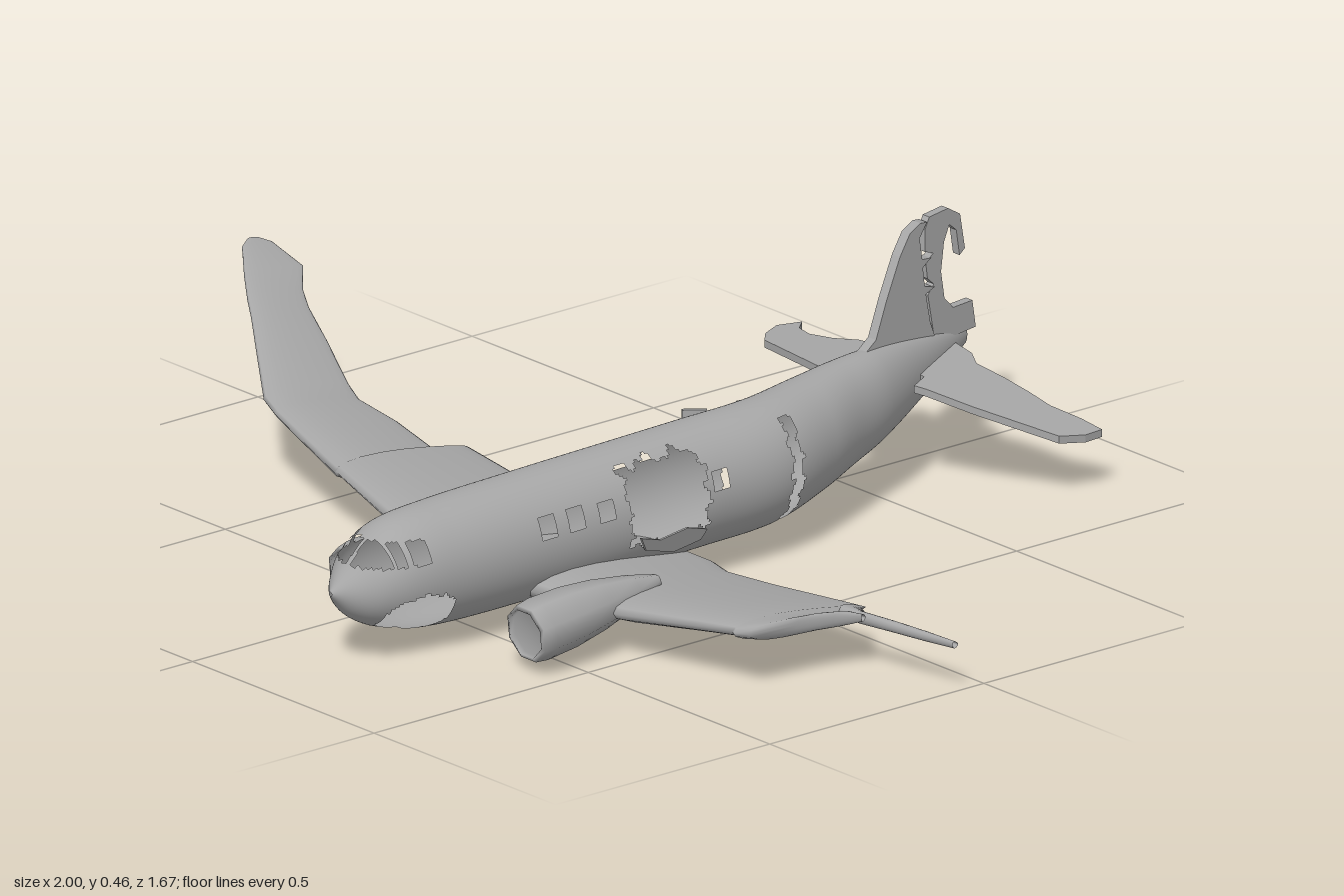
import * as THREE from 'three';

const metal = new THREE.MeshStandardMaterial({ color: 0xa6a6a6, side: THREE.DoubleSide });
metal.name = 'bare metal grey';

// Ragged offset for torn edges
const rag = (t) => 0.006 * Math.sin(t * 130) + 0.004 * Math.sin(t * 310 + 1);

// Skin a list of closed rings; skip(x, y, z) drops cells to leave openings
function loft(rings, skip) {
  const n = rings[0].length, all = [], kept = [];
  const p = rings.flat();
  for (let i = 0; i < rings.length - 1; i++) {
    for (let j = 0; j < n; j++) {
      const a = i * n + j, b = i * n + (j + 1) % n, c = a + n, d = b + n;
      const mid = [0, 1, 2].map((k) => (p[a][k] + p[b][k] + p[c][k] + p[d][k]) / 4);
      all.push(a, b, d, a, d, c);
      if (!skip || !skip(...mid)) kept.push(a, b, d, a, d, c);
    }
  }
  const g = new THREE.BufferGeometry();
  g.setAttribute('position', new THREE.Float32BufferAttribute(p.flat(), 3));
  g.setIndex(all);
  g.computeVertexNormals();
  g.setIndex(kept);
  return g;
}

// Smooth lookup in a table whose first column falls steadily
function sample(table, z) {
  let i = 0;
  while (i < table.length - 2 && z < table[i + 1][0]) i++;
  const a = table[i], b = table[i + 1], h = b[0] - a[0], t = (z - a[0]) / h;
  const p = table[i - 1] || a, q = table[i + 2] || b;
  return a.map((v, k) => {
    const m0 = (b[k] - p[k]) / (b[0] - p[0]) * h, m1 = (q[k] - a[k]) / (q[0] - a[0]) * h;
    return (2 * t ** 3 - 3 * t * t + 1) * v + (t ** 3 - 2 * t * t + t) * m0
      + (3 * t * t - 2 * t ** 3) * b[k] + (t ** 3 - t * t) * m1;
  });
}

// Fuselage sections: z, centre x, half width, bottom y, top y
const hull = [
  [0.835, 0.185, 0.004, 0.147, 0.155], [0.8, 0.185, 0.045, 0.105, 0.192],
  [0.76, 0.185, 0.077, 0.079, 0.232], [0.7, 0.187, 0.094, 0.058, 0.262],
  [0.6, 0.188, 0.101, 0.047, 0.273], [0.4, 0.19, 0.104, 0.047, 0.28],
  [0, 0.19, 0.105, 0.055, 0.288], [-0.16, 0.187, 0.103, 0.06, 0.29],
  [-0.3, 0.153, 0.092, 0.075, 0.29], [-0.4, 0.125, 0.076, 0.09, 0.29],
  [-0.5, 0.1, 0.062, 0.11, 0.286], [-0.65, 0.05, 0.036, 0.148, 0.265],
  [-0.8, 0, 0.01, 0.2, 0.24],
];
const cabinWindows = [0.41, 0.345, 0.275, 0.205, 0.14, 0.075, 0.01];

// Openings in the hull: panes, windows, torn holes, the break and the door
function opening(x, y, z) {
  const left = x > sample(hull, z)[1];
  if (z > 0.675 && y > 0.198 && y < 0.237) {
    const post = Math.abs(x - 0.185) < 0.005 || Math.abs(z - 0.719) < 0.005 || Math.abs(z - 0.743) < 0.004;
    return !post;
  }
  if (y > 0.19 && y < 0.226 && cabinWindows.some((w) => Math.abs(z - w) < 0.018)) return true;
  if (left && ((z - 0.69) / 0.072) ** 2 + ((y - 0.098) / 0.042) ** 2 < 1 + rag(z) * 15) return true;
  if (left && z > 0.045 + rag(y) && z < 0.222 + rag(y + 1) && y > 0.125 + rag(z) && y < 0.266 + rag(z * 0.7)) return true;
  if (left && y > 0.07 && y < 0.27 && Math.abs(z + 0.172 + rag(y) * 0.8) < 0.013) return true;
  return !left && z > -0.235 && z < -0.155 + rag(y) * 0.6 && y > 0.1 && y < 0.25;
}

function fuselage() {
  const rings = [], steps = 278, sides = 120;
  for (let i = 0; i <= steps; i++) {
    const [z, cx, rx, yb, yt] = sample(hull, 0.835 - 1.635 * i / steps);
    rings.push(Array.from({ length: sides }, (_, j) => {
      const a = j / sides * Math.PI * 2;
      return [cx + rx * Math.cos(a), (yb + yt) / 2 + (yt - yb) / 2 * Math.sin(a), z];
    }));
  }
  return loft(rings, opening);
}

// Wing stations: x, leading z, trailing z, y, thickness
function wing(stations) {
  const n = 20;
  return loft(stations.map(([x, lead, trail, y, thick]) => Array.from({ length: n }, (_, j) => {
    const a = j / n * Math.PI * 2, u = (1 - Math.cos(a)) / 2, c = lead - trail;
    const h = thick * 0.5 * Math.sin(a) * (1.25 - 0.75 * u);
    return [x, y + h + c * 0.08 * (0.5 - u), lead - c * u];
  })));
}

// Thin tail plate: outline in two axes, then place() sets each vertex
function plate(points, thick, place) {
  const g = new THREE.ExtrudeGeometry(new THREE.Shape(points.map((p) => new THREE.Vector2(...p))),
    { depth: thick, bevelEnabled: false }).translate(0, 0, -thick / 2);
  const pos = g.attributes.position;
  for (let i = 0; i < pos.count; i++) pos.setXYZ(i, ...place(pos.getX(i), pos.getY(i), pos.getZ(i)));
  g.computeVertexNormals();
  return g;
}

export function createModel() {
  const model = new THREE.Group();
  model.name = 'wreckedAirliner';
  const add = (name, geometry) => {
    const m = new THREE.Mesh(geometry, metal);
    m.name = name;
    model.add(m);
    return m;
  };

  add('fuselage', fuselage());

  // One wing runs through the belly: bent up at the right, torn off at the left
  add('wings', wing([
    [-1, 0.025, 0, 0.315, 0.004], [-0.985, 0.05, -0.02, 0.308, 0.01], [-0.92, 0.1, -0.038, 0.278, 0.015],
    [-0.87, 0.135, 0.005, 0.256, 0.02], [-0.83, 0.16, 0.025, 0.238, 0.024], [-0.75, 0.215, 0.05, 0.203, 0.028],
    [-0.65, 0.283, 0.085, 0.158, 0.033], [-0.6, 0.298, 0.103, 0.147, 0.035], [-0.5, 0.325, 0.1, 0.133, 0.04],
    [-0.365, 0.36, 0.115, 0.114, 0.045], [-0.36, 0.36, 0.05, 0.114, 0.045], [-0.13, 0.418, 0.05, 0.087, 0.058],
    [0.02, 0.428, 0.05, 0.072, 0.065], [0.08, 0.44, 0.035, 0.074, 0.075], [0.19, 0.44, 0.03, 0.072, 0.07],
    [0.3, 0.44, 0.035, 0.074, 0.075], [0.36, 0.428, 0.05, 0.073, 0.065], [0.49, 0.418, 0.05, 0.084, 0.055],
    [0.65, 0.381, 0.05, 0.1, 0.045], [0.734, 0.362, 0.05, 0.108, 0.04], [0.736, 0.362, 0.11, 0.108, 0.04],
    [0.768, 0.352, 0.112, 0.112, 0.036], [0.776, 0.25, 0.113, 0.112, 0.034], [0.79, 0.175, 0.114, 0.112, 0.03],
    [0.81, 0.125, 0.115, 0.112, 0.015],
  ]));
  add('tornWingSpar', wing([
    [0.73, 0.115, 0.06, 0.1, 0.02], [0.78, 0.11, 0.085, 0.1, 0.025], [0.85, 0.1, 0.07, 0.1, 0.022],
    [0.93, 0.087, 0.062, 0.1, 0.019], [1, 0.073, 0.06, 0.1, 0.014],
  ]));

  // Engine nacelles with recessed flat fronts
  for (const [name, x, y] of [['rightEngine', -0.062, 0.062], ['leftEngine', 0.43, 0.085]]) {
    const profile = [[0.012, -0.31], [0.03, -0.25], [0.047, -0.17], [0.056, -0.1], [0.058, -0.03],
      [0.054, -0.003], [0.046, 0], [0.046, -0.012], [0, -0.012]];
    const engine = add(name, new THREE.LatheGeometry(profile.map((p) => new THREE.Vector2(...p)), 8, Math.PI / 8));
    engine.rotation.x = Math.PI / 2 + 0.1;
    engine.position.set(x, y, 0.588);
  }

  // Tail fin and bitten rudder, leaning along the bent tail
  const finPlace = (z, y, t) => [0.005 + (z + 0.8) * 0.31 - (y - 0.25) * 0.1 + t, y, z];
  add('tailFin', plate([
    [-0.46, 0.28], [-0.51, 0.3], [-0.55, 0.36], [-0.6, 0.425], [-0.635, 0.457], [-0.67, 0.466], [-0.69, 0.462],
    [-0.664, 0.44], [-0.668, 0.4], [-0.695, 0.395], [-0.668, 0.385], [-0.67, 0.35], [-0.7, 0.34],
    [-0.672, 0.335], [-0.68, 0.28], [-0.7, 0.23], [-0.62, 0.22],
  ], 0.022, finPlace));
  add('rudder', plate([
    [-0.685, 0.45], [-0.7, 0.468], [-0.76, 0.466], [-0.795, 0.445], [-0.803, 0.38], [-0.785, 0.372],
    [-0.78, 0.42], [-0.76, 0.436], [-0.74, 0.41], [-0.725, 0.36], [-0.73, 0.31], [-0.755, 0.285],
    [-0.815, 0.28], [-0.82, 0.23], [-0.73, 0.235], [-0.69, 0.255], [-0.68, 0.33], [-0.7, 0.345],
    [-0.682, 0.36], [-0.68, 0.39], [-0.705, 0.4], [-0.68, 0.41],
  ], 0.018, finPlace));

  // Tailplanes with shredded trailing edges; the left one droops
  add('rightTailplane', plate([
    [0.06, -0.515], [-0.1, -0.54], [-0.28, -0.572], [-0.31, -0.6], [-0.332, -0.645], [-0.315, -0.69],
    [-0.29, -0.662], [-0.25, -0.652], [-0.2, -0.665], [-0.16, -0.69], [-0.12, -0.695], [-0.09, -0.735],
    [-0.05, -0.73], [-0.02, -0.76], [0.03, -0.75],
  ], 0.014, (x, z, t) => [x, 0.19 + x * 0.05 + t, z]));
  add('leftTailplane', plate([
    [0.05, -0.6], [0.115, -0.61], [0.135, -0.57], [0.15, -0.585], [0.22, -0.635], [0.34, -0.735], [0.348, -0.79],
    [0.34, -0.835], [0.3, -0.82], [0.25, -0.79], [0.2, -0.78], [0.15, -0.765], [0.1, -0.745], [0.07, -0.76],
    [0.02, -0.75],
  ].reverse(), 0.014, (x, z, t) => [x, 0.215 - (x - 0.05) * 0.3 + (z + 0.7) * 0.1 + t, z]));

  // Door swung off its frame and a bent skin strip beside it
  const door = add('openDoor', new THREE.BoxGeometry(0.045, 0.11, 0.008));
  door.position.set(0.055, 0.19, -0.125);
  door.rotation.y = 0.9;
  const strip = add('bentSkinStrip', new THREE.BoxGeometry(0.008, 0.14, 0.03));
  strip.position.set(0.075, 0.175, -0.225);
  strip.rotation.y = -0.2;

  // Peeled skin along the cabin tear
  const peel = add('peeledSkin', plate([
    [0.05, 0.12], [0.1, 0.135], [0.16, 0.125], [0.21, 0.14], [0.19, 0.11], [0.12, 0.09], [0.06, 0.1],
  ], 0.005, (z, y, t) => [0.292 + (y - 0.11) * 0.35 + t, y, z]));
  peel.position.y = 0.005;
  return model;
}
